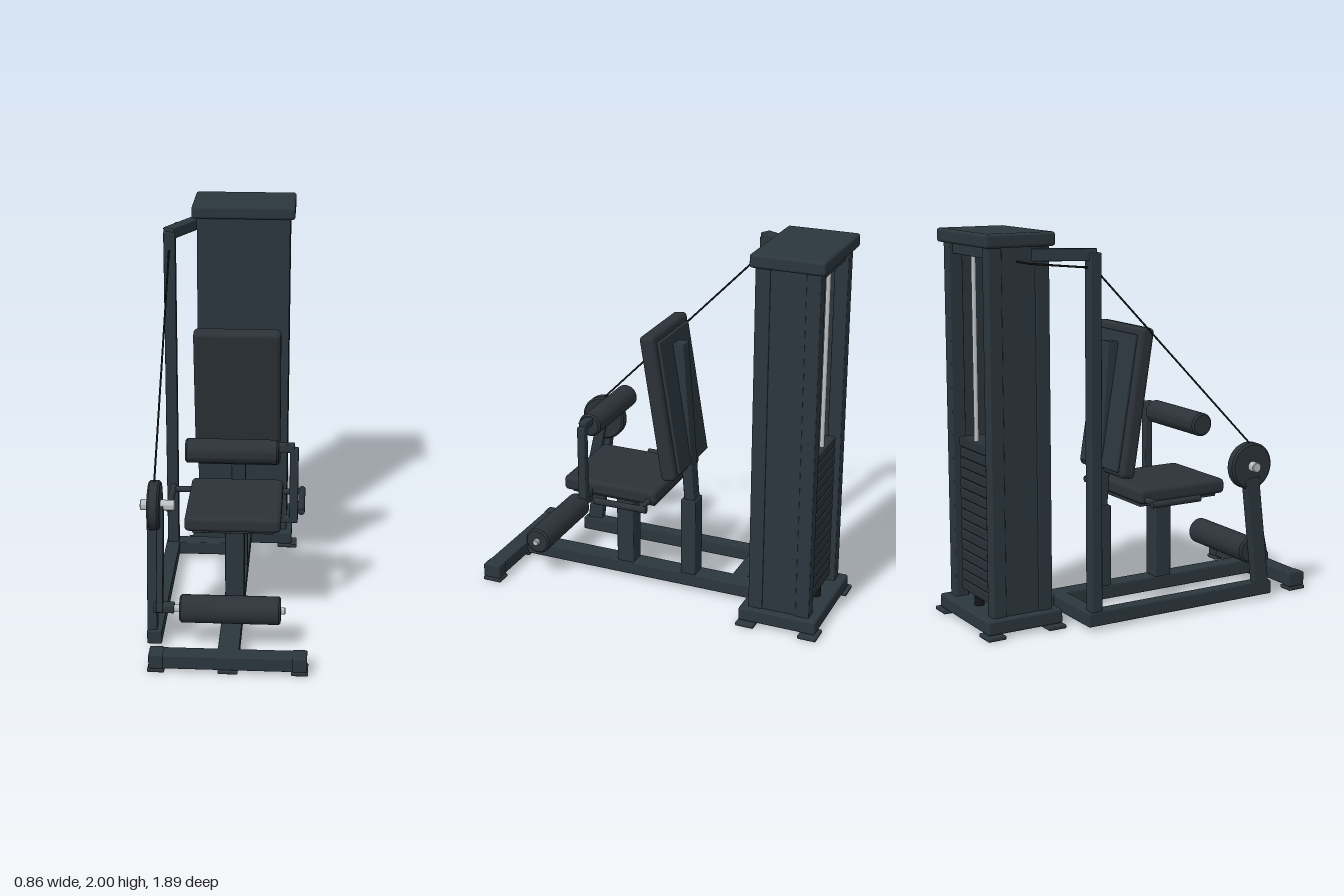
import * as THREE from 'three';
import { toCreasedNormals } from 'three/addons/utils/BufferGeometryUtils.js';
import { RoundedBoxGeometry } from 'three/addons/geometries/RoundedBoxGeometry.js';

const mat = (name, color) => {
  const m = new THREE.MeshStandardMaterial({ color });
  m.name = name;
  return m;
};

export function createModel() {
  const model = new THREE.Group();
  model.name = 'legCurlMachine';
  const frame = mat('frameSlate', 0x2b363d);
  const pad = mat('padCharcoal', 0x2b3238);
  const iron = mat('weightIron', 0x293137);
  const steel = mat('brightSteel', 0xbcc0c3);
  const black = mat('cableBlack', 0x121518);

  const add = (name, geometry, material) => {
    const mesh = new THREE.Mesh(geometry, material);
    mesh.name = name;
    model.add(mesh);
    return mesh;
  };

  // Box given by its extents on each axis, with optional rounded edges
  const box = (name, [x0, x1], [y0, y1], [z0, z1], material = frame, r = 0.006) => {
    const s = [x1 - x0, y1 - y0, z1 - z0];
    const g = r ? new RoundedBoxGeometry(...s, 3, Math.min(r, Math.min(...s) * 0.45)) : new THREE.BoxGeometry(...s);
    const m = add(name, g, material);
    m.position.set((x0 + x1) / 2, (y0 + y1) / 2, (z0 + z1) / 2);
    return m;
  };

  // Box running between two [y, z] points, tilted about x
  const tilted = (name, [x0, x1], [ya, za], [yb, zb], depth, material = frame, r = 0.006) => {
    const dy = yb - ya, dz = zb - za, len = Math.hypot(dy, dz);
    const m = box(name, [x0, x1], [0, len], [0, depth], material, r);
    m.position.set((x0 + x1) / 2, (ya + yb) / 2, (za + zb) / 2);
    m.rotation.x = Math.atan2(dz, dy);
    return m;
  };

  // Cylinder along x with softly bevelled rims
  const roller = (name, x0, x1, y, z, r, material, bevel = 0.004) => {
    const h = (x1 - x0) / 2;
    const pts = [[0, -h], [r - bevel, -h], [r, -h + bevel], [r, h - bevel], [r - bevel, h], [0, h]];
    const lathe = new THREE.LatheGeometry(pts.map(p => new THREE.Vector2(...p)), 40);
    const m = add(name, toCreasedNormals(lathe, 0.5), material);
    m.rotation.z = -Math.PI / 2;
    m.position.set((x0 + x1) / 2, y, z);
    return m;
  };

  // Upright cylinder
  const rod = (name, x, z, y0, y1, r, material = steel) => {
    const m = add(name, new THREE.CylinderGeometry(r, r, y1 - y0, 20), material);
    m.position.set(x, (y0 + y1) / 2, z);
    return m;
  };

  const CX = 0.028; // centre line of the tower and the main beam
  const spine = [CX - 0.05, CX + 0.05];

  // Floor frame
  box('mainBeam', [CX - 0.053, CX + 0.053], [0.02, 0.093], [-0.52, 0.86]);
  box('frontFoot', [CX - 0.36, CX + 0.36], [0.02, 0.093], [0.845, 0.935]);
  box('centreFootPad', [CX - 0.05, CX + 0.05], [0, 0.02], [0.84, 0.94]);
  box('sideBeam', [-0.395, -0.32], [0.02, 0.093], [-0.39, 0.69]);
  box('sideBeamLink', [-0.395, 0], [0.02, 0.093], [-0.44, -0.355]);
  for (const s of [-1, 1]) {
    const x = CX + s * 0.355;
    box('frontFootPad', [x - 0.042, x + 0.042], [0, 0.02], [0.835, 0.94]);
    box('frontFootCap', [x - 0.036, x + 0.036], [0.02, 0.095], [0.84, 0.938]);
    for (const z of [-0.9, -0.56]) {
      const px = CX + s * 0.26;
      box('towerFootPad', [px - 0.055, px + 0.055], [0, 0.02], [z - 0.05, z + 0.05]);
    }
  }

  // Weight tower: base, corner posts, panels and cap; the back is open
  box('towerBase', [CX - 0.285, CX + 0.285], [0.02, 0.095], [-0.935, -0.515], frame, 0.012);
  for (const s of [-1, 1]) {
    const outer = CX + s * 0.253, inner = CX + s * 0.183;
    const span = [Math.min(outer, inner), Math.max(outer, inner)];
    for (const z of [-0.888, -0.634]) box('towerPost', span, [0.09, 1.935], [z, z + 0.072]);
    const px = CX + s * 0.24;
    box('towerSidePanel', [px - 0.006, px + 0.006], [0.09, 1.935], [-0.83, -0.62], frame, 0);
  }
  box('towerFrontPanel', [CX - 0.253, CX + 0.253], [0.09, 1.935], [-0.572, -0.56], frame, 0);
  box('towerHeader', [CX - 0.2, CX + 0.2], [1.875, 1.935], [-0.87, -0.83]);
  box('towerCap', [CX - 0.28, CX + 0.28], [1.93, 2], [-0.915, -0.535], frame, 0.015);

  // Weight stack with guide rods, bumpers and selector stem
  const plates = 15, pitch = 0.054;
  for (let i = 0; i < plates; i++) {
    const y = 0.145 + i * pitch;
    box('weightPlate', [CX - 0.15, CX + 0.15], [y, y + pitch - 0.006], [-0.87, -0.59], iron, 0.005);
  }
  box('stackCore', [CX - 0.14, CX + 0.14], [0.15, 0.94], [-0.86, -0.6], iron, 0);
  for (const z of [-0.845, -0.61]) {
    rod('guideRod', CX, z, 0.09, 1.93, 0.012);
    rod('stackBumper', CX, z, 0.09, 0.145, 0.025, black);
  }
  rod('selectorStem', CX, -0.725, 0.94, 1.05, 0.013);
  rod('selectorKnob', CX, -0.725, 1.04, 1.075, 0.022);

  // Cable mast and its angled arm to the tower
  box('cableMast', [-0.388, -0.325], [0.09, 1.9], [-0.42, -0.358]);
  const from = new THREE.Vector2(-0.357, -0.385), to = new THREE.Vector2(-0.225, -0.64);
  const arm = box('mastArm', [0, 0.062], [1.86, 1.92], [0, from.distanceTo(to) + 0.03]);
  arm.position.set((from.x + to.x) / 2, 1.89, (from.y + to.y) / 2);
  arm.rotation.y = Math.atan2(to.x - from.x, to.y - from.y);

  // Cable from the cam over the mast into the tower
  const path = new THREE.CurvePath();
  const pts = [[-0.358, 0.85, 0.565], [-0.358, 1.825, -0.385], [-0.358, 1.86, -0.73], [-0.2, 1.86, -0.73]]
    .map(p => new THREE.Vector3(...p));
  for (let i = 0; i < 3; i++) path.add(new THREE.LineCurve3(pts[i], pts[i + 1]));
  add('cable', new THREE.TubeGeometry(path, 120, 0.005, 8), black);

  // Cam, its support and the swinging leg lever
  tilted('camSupport', [-0.395, -0.345], [0.07, 0.632], [0.67, 0.56], 0.085);
  tilted('legLever', [-0.345, -0.312], [0.735, 0.56], [0.2, 0.678], 0.06);
  roller('cam', -0.388, -0.328, 0.735, 0.56, 0.125, pad, 0.01);
  roller('camAxle', -0.43, -0.255, 0.735, 0.56, 0.027, steel);
  box('rollerBracket', [-0.36, -0.255], [0.198, 0.242], [0.645, 0.695]);
  roller('ankleRoller', -0.227, 0.282, 0.22, 0.675, 0.071, pad, 0.01);
  roller('ankleRollerAxle', -0.26, 0.305, 0.22, 0.675, 0.018, steel);

  // Seat with post
  box('seatPost', spine, [0.09, 0.55], [0.19, 0.287]);
  box('seatPlate', [-0.18, 0.235], [0.543, 0.57], [-0.01, 0.47]);
  box('seatCushion', [-0.217, 0.273], [0.562, 0.642], [-0.028, 0.505], pad, 0.024);

  // Hand grips on both sides of the seat
  for (const s of [-1, 1]) {
    const x = CX + s * 0.345;
    roller('gripStub', Math.min(x, CX + s * 0.2), Math.max(x, CX + s * 0.2), 0.585, 0.012, 0.016, frame);
    const grip = rod('handGrip', x, 0.125, 0, 0.295, 0.018, pad);
    grip.rotation.x = Math.PI / 2;
    grip.position.y = 0.585;
  }

  // Thigh pad on its side arm
  box('thighArm', [0.312, 0.356], [0.57, 0.975], [0.334, 0.377]);
  box('thighArmFoot', [0.2, 0.356], [0.568, 0.6], [0.334, 0.377]);
  box('thighArmTop', [0.24, 0.335], [0.955, 0.998], [0.334, 0.377]);
  roller('thighPad', -0.217, 0.255, 0.95, 0.355, 0.062, pad, 0.01);

  // Backrest on its upright
  box('backPost', spine, [0.09, 0.53], [-0.175, -0.09]);
  tilted('backUpright', [CX - 0.038, CX + 0.038], [0.52, -0.135], [1.4, -0.068], 0.06);
  tilted('backPlate', [-0.165, 0.215], [0.74, -0.137], [1.45, -0.021], 0.018);
  tilted('backCushion', [-0.2, 0.253], [0.705, -0.092], [1.485, 0.032], 0.082, pad, 0.024);

  return model;
}
